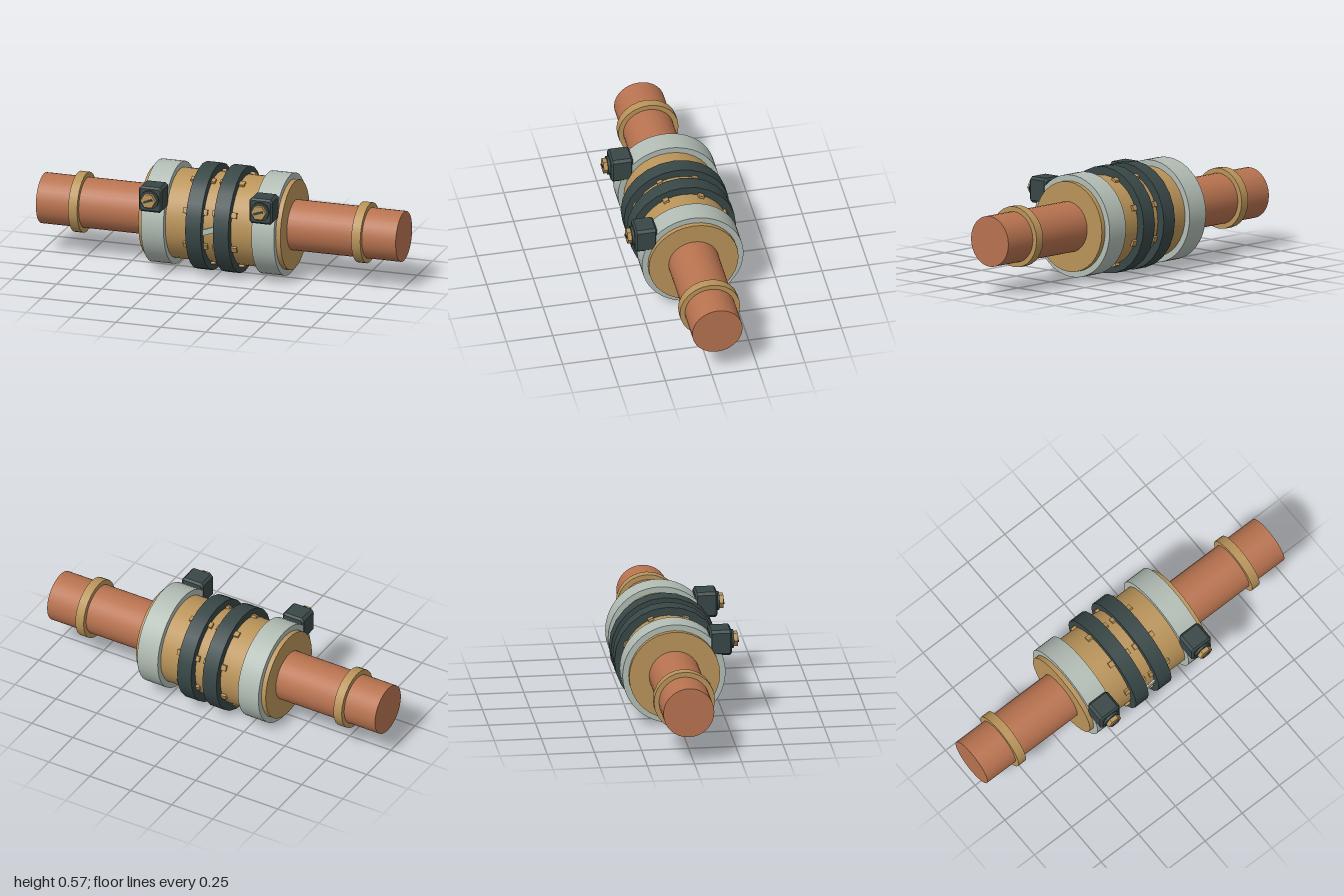
import * as THREE from 'three';

const material = (name, color) => {
  const m = new THREE.MeshStandardMaterial({ color });
  m.name = name;
  return m;
};

export function createModel() {
  const copper = material('copper', 0xb87350);
  const brass = material('brass', 0xba945a);
  const steel = material('steel', 0xb2bdb5);
  const rubber = material('dark rubber', 0x394747);

  const model = new THREE.Group();
  model.name = 'pipeCoupling';

  // Everything round shares one axis along x
  const assembly = new THREE.Group();
  assembly.name = 'assembly';
  assembly.position.set(0, 0.288, -0.03);
  model.add(assembly);

  const add = (parent, name, geometry, mat, x = 0, y = 0, z = 0) => {
    const mesh = new THREE.Mesh(geometry, mat);
    mesh.name = name;
    mesh.position.set(x, y, z);
    parent.add(mesh);
    return mesh;
  };
  const disc = (name, radius, width, mat, x, sides) =>
    add(assembly, name, new THREE.CylinderGeometry(radius, radius, width, sides).rotateZ(Math.PI / 2), mat, x);

  // Block with cut corners, extruded along z from 0 to depth
  const chamferedBlock = (w, h, depth, cut, bevel) => {
    const a = w / 2 - bevel, b = h / 2 - bevel;
    const shape = new THREE.Shape([
      [a - cut, -b], [a, -b + cut], [a, b - cut], [a - cut, b],
      [-a + cut, b], [-a, b - cut], [-a, -b + cut], [-a + cut, -b],
    ].map(([x, y]) => new THREE.Vector2(x, y)));
    return new THREE.ExtrudeGeometry(shape, {
      depth: depth - 2 * bevel, bevelEnabled: true, bevelSize: bevel, bevelThickness: bevel, bevelSegments: 1,
    }).translate(0, 0, bevel);
  };

  // Central barrel
  disc('barrel', 0.241, 0.79, brass, 0, 32);

  for (const s of [-1, 1]) {
    const side = s > 0 ? 'left' : 'right';
    disc(side + 'Pipe', 0.135, 0.62, copper, s * 0.69, 32);
    disc(side + 'PipeCollar', 0.162, 0.05, brass, s * 0.787, 24);
    disc(side + 'ClampBand', 0.273, 0.125, steel, s * 0.307, 48);
    disc(side + 'RubberRing', 0.285, 0.085, rubber, s * 0.077, 24);

    // Eight raised lugs passing under each rubber ring
    for (let i = 0; i < 8; i++) {
      const angle = Math.PI / 8 + i * Math.PI / 4;
      const lug = add(assembly, side + 'Lug', new THREE.BoxGeometry(0.135, 0.024, 0.03), brass,
        s * 0.081, Math.cos(angle) * 0.241, Math.sin(angle) * 0.241);
      lug.rotation.x = angle;
    }

    // Clamp screw housing with washer and slotted hex head
    const clampScrew = new THREE.Group();
    clampScrew.name = side + 'ClampScrew';
    clampScrew.position.set(s * 0.307, 0.447, 0);
    model.add(clampScrew);
    add(clampScrew, 'screwHousing', chamferedBlock(0.13, 0.139, 0.118, 0.008, 0.01), rubber, 0, 0, 0.16);
    add(clampScrew, 'washer', new THREE.CylinderGeometry(0.05, 0.05, 0.02, 24).rotateX(Math.PI / 2),
      rubber, 0, 0.003, 0.281);
    const hex = new THREE.CylinderGeometry(0.041, 0.041, 0.025, 6).toNonIndexed();
    hex.computeVertexNormals();
    hex.rotateY(Math.PI / 6).rotateX(Math.PI / 2).rotateZ(Math.PI / 6);
    // Turn the hexagon so that a corner points sideways
    hex.computeBoundingBox();
    if (hex.boundingBox.max.x < 0.04) hex.rotateZ(Math.PI / 6);
    add(clampScrew, 'hexHead', hex, brass, 0, 0.003, 0.3005);
    add(clampScrew, 'screwSlot', new THREE.BoxGeometry(0.052, 0.011, 0.006), rubber, 0, 0.003, 0.315)
      .rotation.z = 0.35;
  }

  // Slanted steel strip between the two rubber rings
  add(model, 'linkStrip', new THREE.BoxGeometry(0.11, 0.03, 0.009), steel, 0, 0.288, 0.217)
    .rotation.z = 0.35;

  return model;
}
